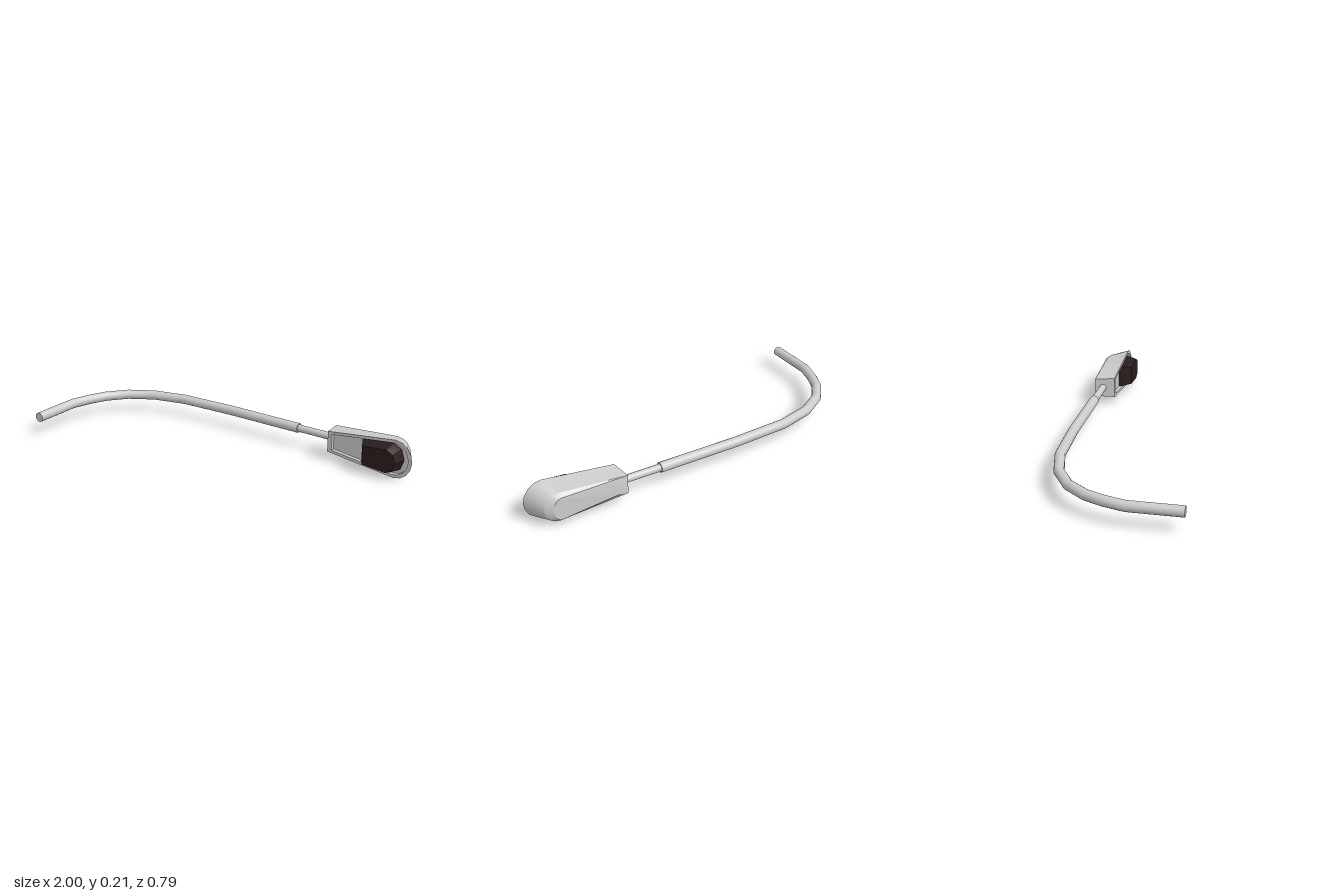
import * as THREE from 'three';
import { toCreasedNormals } from 'three/addons/utils/BufferGeometryUtils.js';

const Y = 0.111; // height of the arm's axis

// Tapered outline: narrow flat end at x0, round end at x1; z runs from z0 to z1
function outline(x0, h0, xs, h1, x1, z0, z1 = z0, steps = 8) {
  const pts = [[x0, -h0]];
  for (let i = 0; i <= steps; i++) {
    const a = -Math.PI / 2 + (Math.PI * i) / steps;
    pts.push([xs + (x1 - xs) * Math.cos(a), h1 * Math.sin(a)]);
  }
  pts.push([x0, h0]);
  return pts.map(([x, y]) => new THREE.Vector3(x, Y + y, z0 + (z1 - z0) * Math.min(1, (x - x0) / (xs - x0))));
}

// Skin a list of matching loops and close both ends
function loft(loops, crease) {
  const out = [];
  const tri = (...p) => p.forEach((v) => out.push(v.x, v.y, v.z));
  const n = loops[0].length;
  const cap = (loop, flip) => {
    for (let i = 1; i < n - 1; i++) flip ? tri(loop[0], loop[i + 1], loop[i]) : tri(loop[0], loop[i], loop[i + 1]);
  };
  cap(loops[0], true);
  for (let k = 0; k < loops.length - 1; k++) {
    const a = loops[k], b = loops[k + 1];
    for (let i = 0; i < n; i++) {
      const j = (i + 1) % n;
      tri(a[i], a[j], b[j]);
      tri(a[i], b[j], b[i]);
    }
  }
  cap(loops[loops.length - 1], false);
  const g = new THREE.BufferGeometry();
  g.setAttribute('position', new THREE.Float32BufferAttribute(out, 3));
  return toCreasedNormals(g, crease);
}

export function createModel() {
  const group = new THREE.Group();
  const grey = new THREE.MeshStandardMaterial({ color: 0xcccccc });
  const dark = new THREE.MeshStandardMaterial({ color: 0x2b1c1c });
  const add = (name, geometry, material = grey) => {
    const mesh = new THREE.Mesh(geometry, material);
    mesh.name = name;
    group.add(mesh);
    return mesh;
  };

  // Bent pole, one ring at each path point
  const path = [
    [-0.973, 0.394], [-0.973, 0.12], [-0.94, 0.01], [-0.9, -0.08], [-0.815, -0.185],
    [-0.68, -0.267], [-0.49, -0.316], [-0.17, -0.333], [0.29, -0.335],
  ].map(([x, z]) => new THREE.Vector3(x, Y, z));
  const curve = new THREE.CatmullRomCurve3(path);
  curve.getPointAt = curve.getPoint;
  curve.getTangentAt = curve.getTangent;
  add('pole', new THREE.TubeGeometry(curve, path.length - 1, 0.027, 16));

  // Discs closing the pole
  add('poleBase', new THREE.CircleGeometry(0.027, 16)).position.copy(path[0]);
  const tip = add('poleTip', new THREE.CircleGeometry(0.027, 16));
  tip.position.copy(path[path.length - 1]);
  tip.rotation.y = Math.PI / 2;

  // Thin spigot between pole and lamp head
  const spigot = add('spigot', new THREE.CylinderGeometry(0.02, 0.02, 0.25, 16));
  spigot.rotation.z = Math.PI / 2;
  spigot.position.set(0.4, Y, -0.335);

  // Lamp housing: back panel, shoulder, rim, then recessed floor
  add('lampHousing', loft([
    outline(0.56, 0.035, 0.86, 0.062, 0.9, -0.391, -0.397),
    outline(0.495, 0.052, 0.86, 0.08, 0.94, -0.38, -0.375),
    outline(0.51, 0.058, 0.9, 0.105, 1.0, -0.267),
    outline(0.535, 0.045, 0.895, 0.088, 0.978, -0.267),
    outline(0.537, 0.043, 0.895, 0.086, 0.976, -0.285),
  ], 0.45));

  // Dark lens
  add('lens', loft([
    outline(0.713, 0.063, 0.885, 0.078, 0.948, -0.285, -0.285, 4),
    outline(0.715, 0.062, 0.885, 0.077, 0.945, -0.267, -0.267, 4),
    outline(0.745, 0.052, 0.88, 0.063, 0.93, -0.213, -0.213, 4),
  ], 0.4), dark);

  return group;
}
